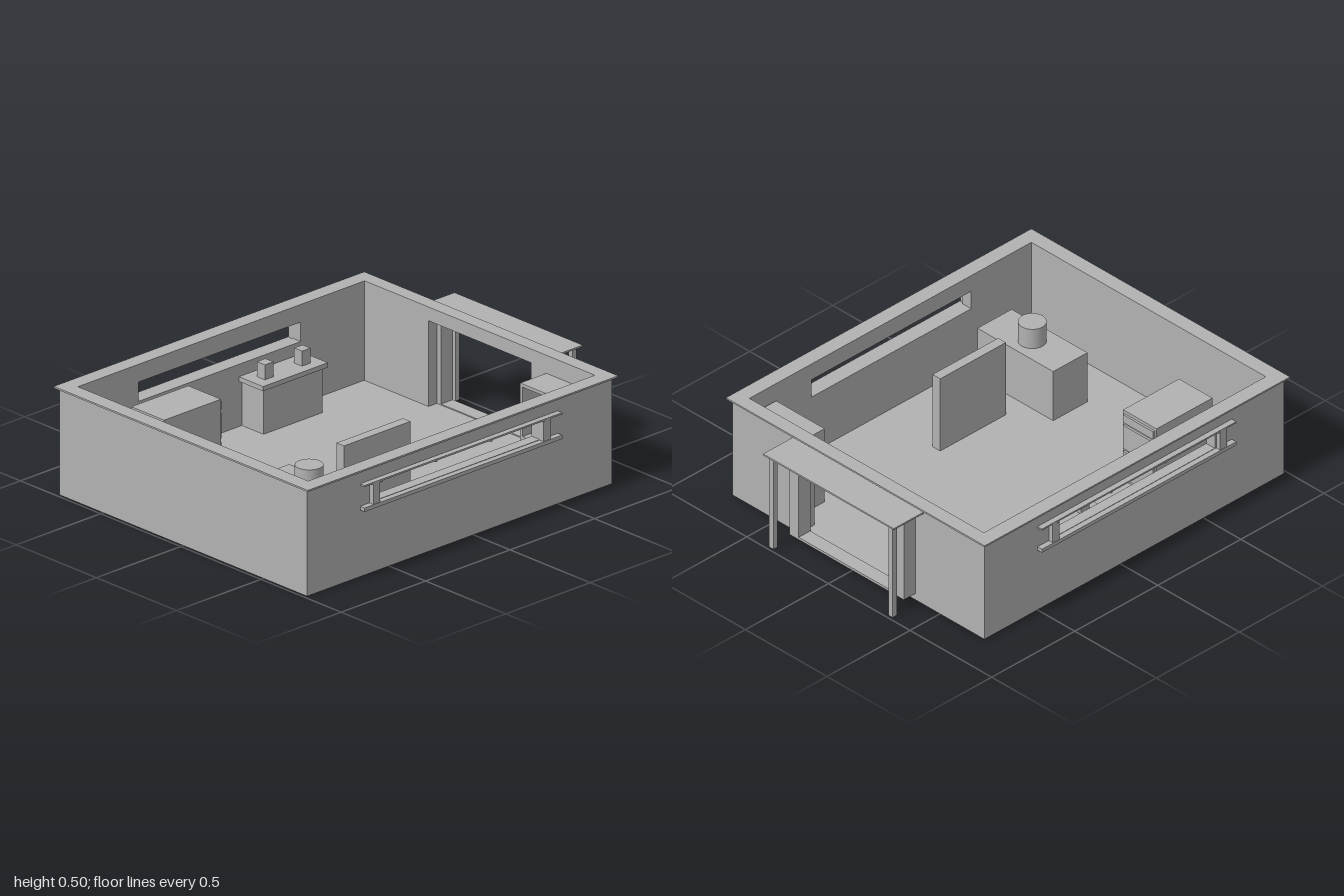
import * as THREE from 'three';

const plaster = new THREE.MeshStandardMaterial({ color: 0xb2b2b2 });
plaster.name = 'plainGrey';

export function createModel() {
  const root = new THREE.Group();
  root.name = 'openRoom';

  const group = (name) => {
    const g = new THREE.Group();
    g.name = name;
    root.add(g);
    return g;
  };
  const add = (parent, name, geometry) => {
    const m = new THREE.Mesh(geometry, plaster);
    m.name = name;
    parent.add(m);
    return m;
  };
  // Box given by its limits on each axis
  const box = (parent, name, [x0, x1], [y0, y1], [z0, z1]) => {
    const m = add(parent, name, new THREE.BoxGeometry(x1 - x0, y1 - y0, z1 - z0));
    m.position.set((x0 + x1) / 2, (y0 + y1) / 2, (z0 + z1) / 2);
    return m;
  };
  const rect = (Type, x0, x1, y0, y1) => {
    const s = new Type();
    s.moveTo(x0, y0).lineTo(x1, y0).lineTo(x1, y1).lineTo(x0, y1).closePath();
    return s;
  };
  // Flat slab with one rectangular opening, extruded along +z
  const slab = (outer, hole, depth) => {
    const s = rect(THREE.Shape, ...outer);
    s.holes.push(rect(THREE.Path, ...hole));
    return new THREE.ExtrudeGeometry(s, { depth, bevelEnabled: false });
  };

  // Shell
  const shell = group('shell');
  box(shell, 'floor', [-0.72, 0.72], [0, 0.04], [-0.77, 0.93]);
  box(shell, 'frontWall', [-0.772, 0.772], [0, 0.497], [0.93, 0.985]);
  const back = add(shell, 'backWall', slab([-0.772, 0.772, 0, 0.497], [-0.32, 0.32, 0.04, 0.44], 0.05));
  back.position.z = -0.82;
  for (const side of [-1, 1]) {
    const wall = add(shell, side > 0 ? 'leftWall' : 'rightWall',
      slab([-0.93, 0.77, 0, 0.497], [-0.567, 0.393, 0.33, 0.42], 0.052));
    wall.rotation.y = Math.PI / 2;
    wall.position.x = side > 0 ? 0.72 : -0.772;
  }
  const rim = add(shell, 'wallCap', slab([-0.792, 0.792, -1, 0.838], [-0.718, 0.718, -0.927, 0.77], 0.008));
  rim.rotation.x = -Math.PI / 2;
  rim.position.y = 0.496;

  // Window surrounds on both sides
  for (const side of [-1, 1]) {
    const w = group(side > 0 ? 'leftWindow' : 'rightWindow');
    const out = (a, b) => (side > 0 ? [a, b] : [-b, -a]);
    box(w, 'windowHood', out(0.77, 0.799), [0.425, 0.433], [-0.5, 0.67]);
    box(w, 'windowSill', out(0.77, 0.799), [0.31, 0.328], [-0.5, 0.67]);
    for (const z of [-0.412, 0.596])
      box(w, 'windowPost', out(0.77, 0.796), [0.328, 0.425], [z - 0.02, z + 0.02]);
    for (const z of [-0.4, -0.08, 0.245, 0.57])
      box(w, 'hoodBracket', out(0.77, 0.8), [0.42, 0.428], [z - 0.005, z + 0.005]);
  }

  // Doorway and porch at the back
  const porch = group('porch');
  box(porch, 'porchRoof', [-0.4, 0.4], [0.472, 0.48], [-1, -0.82]);
  box(porch, 'doorHeader', [-0.38, 0.38], [0.46, 0.468], [-0.905, -0.82]);
  box(porch, 'doorLintel', [-0.35, 0.35], [0.435, 0.46], [-0.89, -0.82]);
  box(porch, 'doorThreshold', [-0.35, 0.35], [0.033, 0.045], [-0.89, -0.82]);
  for (const s of [-1, 1]) {
    box(porch, 'doorJamb', [s * 0.322 - 0.028, s * 0.322 + 0.028], [0.035, 0.46], [-0.89, -0.82]);
    box(porch, 'porchPost', [s * 0.365 - 0.013, s * 0.365 + 0.013], [0, 0.473], [-0.985, -0.96]);
  }

  // Counter with two small blocks
  const counter = group('counter');
  box(counter, 'counterBody', [-0.72, -0.585], [0.04, 0.25], [-0.395, -0.045]);
  box(counter, 'counterTop', [-0.72, -0.57], [0.25, 0.272], [-0.412, -0.028]);
  for (const z of [-0.33, -0.11])
    box(counter, 'counterBlock', [-0.668, -0.618], [0.272, 0.342], [z - 0.025, z + 0.025]);

  // Cabinet with front panels facing the back
  const cabinet = group('cabinet');
  box(cabinet, 'cabinetBody', [-0.57, -0.365], [0.04, 0.405], [0.415, 0.752]);
  for (const [y0, y1] of [[0.06, 0.2], [0.215, 0.335], [0.35, 0.39]])
    box(cabinet, 'cabinetPanel', [-0.56, -0.375], [y0, y1], [0.404, 0.416]);

  // Table with a drum on top
  const table = group('table');
  box(table, 'tableBlock', [0.168, 0.632], [0.04, 0.295], [0.518, 0.724]);
  const drum = add(table, 'drum', new THREE.CylinderGeometry(0.062, 0.062, 0.1, 32));
  drum.position.set(0.4, 0.345, 0.62);

  // Free-standing partition
  box(root, 'partition', [0.343, 0.39], [0.04, 0.415], [0.01, 0.405]);

  // Open shelves in the back corner
  const shelves = group('shelves');
  const Z = [-0.77, -0.615];
  box(shelves, 'shelfBack', [0.415, 0.712], [0.04, 0.42], [-0.77, -0.755]);
  for (const x of [0.415, 0.697])
    box(shelves, 'shelfSide', [x, x + 0.015], [0.04, 0.42], Z);
  for (const y of [0.04, 0.16, 0.285, 0.405])
    box(shelves, 'shelfBoard', [0.43, 0.697], [y, y + 0.015], Z);

  return root;
}
